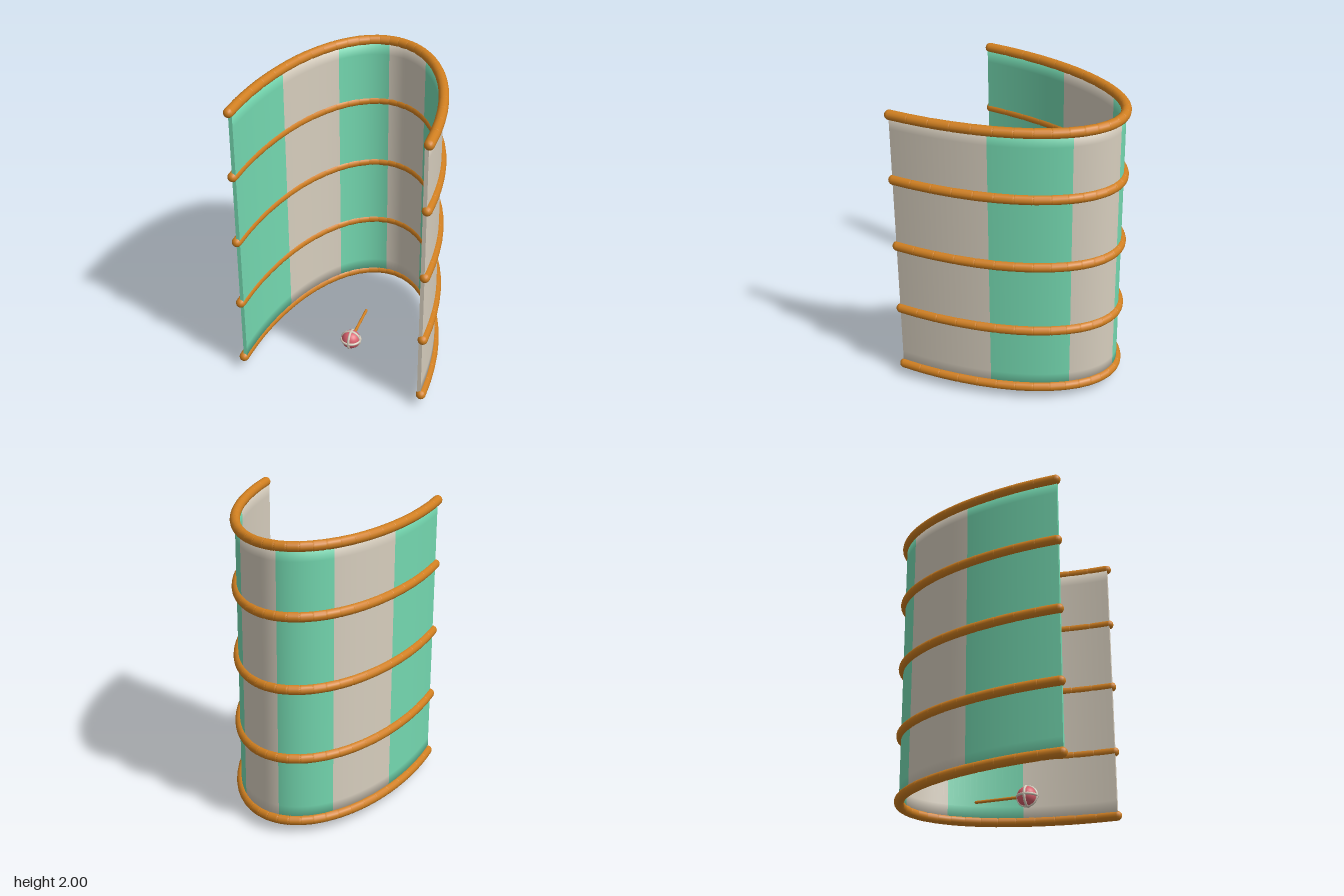
import * as THREE from 'three';

const mat = (name, color) => {
  const m = new THREE.MeshStandardMaterial({ color });
  m.name = name;
  return m;
};

const FRONT = 0.645, LOW = 0.09, HIGH = 1.97;

// Point on the half ellipse plan: t = 0 at the left front end, PI at the right front end
const plan = (t, y, rx = 0.625, rz = 1.29) =>
  new THREE.Vector3(rx * Math.cos(t), y, FRONT - rz * Math.sin(t));

// Closed wall section: [side (0 inner, 1 outer), height, vertical tilt of the normal]
const SECTION = [
  [0, LOW, -1], [0, LOW + 0.1, 0], [0, HIGH - 0.1, 0], [0, HIGH, 1],
  [1, HIGH, 1], [1, HIGH - 0.1, 0], [1, LOW + 0.1, 0], [1, LOW, -1],
];

// One curved stripe of the wall, with softened upper and lower rims
function stripeGeometry(t0, t1, steps = 12) {
  const pos = [], nor = [], idx = [], n = SECTION.length;
  for (let i = 0; i <= steps; i++) {
    const t = t0 + ((t1 - t0) * i) / steps;
    for (const [side, y, tilt] of SECTION) {
      const p = plan(t, y, 0.6 + 0.025 * side, 1.265 + 0.025 * side);
      const out = new THREE.Vector3(Math.cos(t) / 0.625, 0, -Math.sin(t) / 1.29).normalize();
      if (!side) out.negate();
      out.y = tilt;
      out.normalize();
      pos.push(p.x, p.y, p.z);
      nor.push(out.x, out.y, out.z);
    }
  }
  for (let i = 0; i < steps; i++) {
    for (let j = 0; j < n; j++) {
      const a = i * n + j, b = i * n + ((j + 1) % n);
      idx.push(a, b, a + n, b, b + n, a + n);
    }
  }
  const g = new THREE.BufferGeometry();
  g.setAttribute('position', new THREE.Float32BufferAttribute(pos, 3));
  g.setAttribute('normal', new THREE.Float32BufferAttribute(nor, 3));
  g.setIndex(idx);
  return g;
}

export function createModel() {
  const cream = mat('cream', 0xd6cdbd);
  const green = mat('mint green', 0x74d8b0);
  const cane = mat('orange cane', 0xd07f20);
  const pink = mat('pink', 0xd8606c);

  const model = new THREE.Group();
  model.name = 'stripedScreen';
  const add = (parent, name, geometry, material, x = 0, y = 0, z = 0) => {
    const mesh = new THREE.Mesh(geometry, material);
    mesh.name = name;
    mesh.position.set(x, y, z);
    parent.add(mesh);
    return mesh;
  };

  // Cloth wall in six alternating stripes
  const wall = new THREE.Group();
  wall.name = 'clothWall';
  model.add(wall);
  for (let k = 0; k < 6; k++) {
    add(wall, 'wallStripe', stripeGeometry((k * Math.PI) / 6, ((k + 1) * Math.PI) / 6), k % 2 ? green : cream);
  }
  // Front ends of the wall
  for (const s of [1, -1]) {
    add(wall, 'wallEnd', new THREE.PlaneGeometry(0.025, HIGH - LOW), s > 0 ? cream : green,
      s * 0.6125, (LOW + HIGH) / 2, FRONT);
  }

  // Jointed cane hoops
  const SEGMENTS = 28, R = 0.033, up = new THREE.Vector3(0, 1, 0);
  for (const y of [LOW, 0.545, 1.03, 1.517, 1.967]) {
    const hoop = new THREE.Group();
    hoop.name = 'caneHoop';
    model.add(hoop);
    for (let i = 0; i < SEGMENTS; i++) {
      const a = plan((i * Math.PI) / SEGMENTS, y);
      const b = plan(((i + 1) * Math.PI) / SEGMENTS, y);
      const dir = b.clone().sub(a);
      const geo = new THREE.CapsuleGeometry(R, dir.length() - 0.016, 4, 14);
      const seg = add(hoop, 'caneSegment', geo, cane);
      seg.position.copy(a).add(b).multiplyScalar(0.5);
      seg.quaternion.setFromUnitVectors(up, dir.normalize());
    }
  }

  // Banded mallet lying on the ground
  const mallet = new THREE.Group();
  mallet.name = 'mallet';
  mallet.position.set(0, 0.073, 0.213);
  model.add(mallet);
  add(mallet, 'malletHead', new THREE.SphereGeometry(0.065, 28, 18), pink);
  for (const [rx, ry] of [[0, 0], [Math.PI / 2, 0], [0, Math.PI / 2]]) {
    add(mallet, 'headBand', new THREE.TorusGeometry(0.064, 0.009, 8, 36), cream).rotation.set(rx, ry, 0);
  }
  add(mallet, 'malletHandle', new THREE.CapsuleGeometry(0.01, 0.335, 4, 12), cane, 0, 0, -0.1775)
    .rotation.x = Math.PI / 2;

  return model;
}
